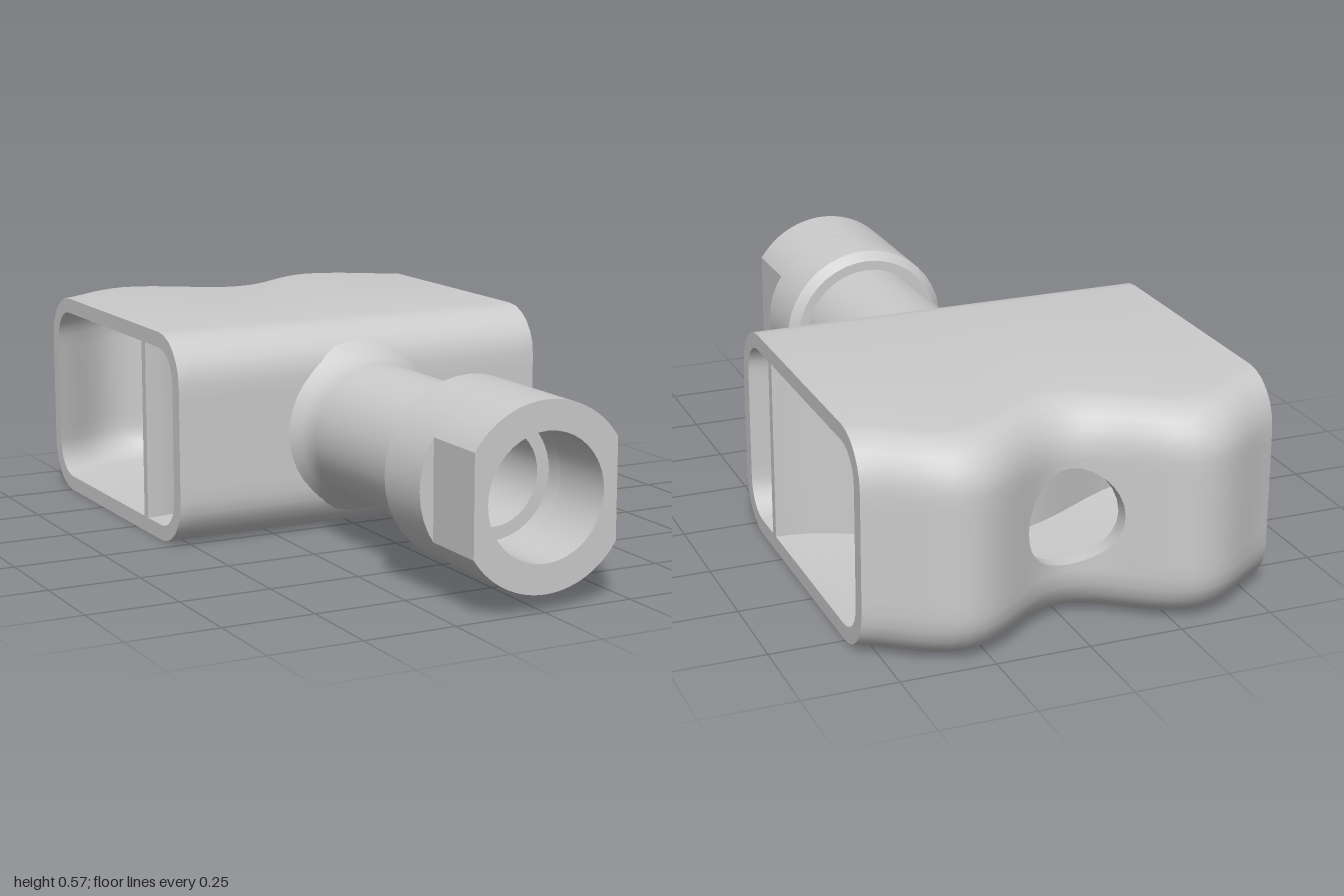
import * as THREE from 'three';
import { mergeGeometries, mergeVertices, toCreasedNormals } from 'three/addons/utils/BufferGeometryUtils.js';

const CY = 0.2875;      // height of the bore axis
const L = 0.55;         // half length of the sleeve
const S = 0.1575;       // half height of the flat walls
const BORE = 0.13;
const WALL = 0.042;

// Grid surface from fn(u, v); its front is on the side of du x dv unless flipped
function surf(us, vs, fn, flip = false) {
  const pos = [], idx = [], n = vs.length;
  for (const u of us) for (const v of vs) pos.push(...fn(u, v));
  for (let i = 0; i < us.length - 1; i++) {
    for (let j = 0; j < n - 1; j++) {
      const a = i * n + j, b = a + n, c = b + 1, d = a + 1;
      if (flip) idx.push(a, c, b, a, d, c);
      else idx.push(a, b, c, a, c, d);
    }
  }
  const g = new THREE.BufferGeometry();
  g.setAttribute('position', new THREE.Float32BufferAttribute(pos, 3));
  g.setIndex(idx);
  return g;
}
const range = (a, b, n) => Array.from({ length: n + 1 }, (_, i) => a + (b - a) * i / n);

const sideX = range(S, L, 10), midX = range(-S, S, 8);
const leftX = sideX.map(x => -x).reverse();
const allX = [...leftX, ...midX.slice(1, -1), ...sideX];

// Point on the square around the bore, s in 0..32
function squarePoint(s) {
  const side = Math.floor(s / 8) % 4, t = S * ((s % 8) / 4 - 1);
  return [[S, t], [-t, S], [-S, -t], [t, -S]][side];
}
function circlePoint(s) {
  const [x, y] = squarePoint(s), k = BORE / Math.hypot(x, y);
  return [x * k, y * k];
}

// Upright wall z = zf(x) with a round hole in the middle
function piercedWall(zf, flip) {
  const grid = (x, y) => [x, CY + y, zf(x)];
  return [
    surf(leftX, midX, grid, flip),
    surf(sideX, midX, grid, flip),
    surf(range(0, 1, 3), range(0, 32, 32), (k, s) => {
      const c = circlePoint(s), q = squarePoint(s);
      return grid(c[0] + (q[0] - c[0]) * k, c[1] + (q[1] - c[1]) * k);
    }, flip),
  ];
}

// Lining of a hole from the rear surface to the one in front of it
const holeLining = (zRear, zFront) => surf([0, 1], range(0, 32, 32), (k, s) => {
  const [x, y] = circlePoint(s);
  return [x, CY + y, k ? zFront(x) : zRear(x)];
});

function finish(parts, angle) {
  return toCreasedNormals(mergeVertices(mergeGeometries(parts), 1e-5), angle);
}

// Waved rear wall, and rounded section of the sleeve at x (i in 0..28)
const rearZ = x => -0.928 + 0.072 * Math.cos(Math.PI * x / 0.31);
function section(x, i, inset) {
  const k = i % 28, corner = Math.floor(k / 7);
  const a = (corner + (k % 7) / 6) * Math.PI / 2;
  const r = 0.13 - inset;
  const cz = corner === 0 || corner === 3 ? 0.055 - 0.13 : rearZ(x) + 0.13;
  const cy = corner < 2 ? S : -S;
  return [x, CY + cy + r * Math.sin(a), cz + r * Math.cos(a)];
}

function sleeveGeometry() {
  const parts = [];
  for (const inset of [0, WALL]) {
    const inner = inset > 0;
    const skin = (x, i) => section(x, i, inset);
    parts.push(surf(allX, range(0, 13, 13), skin, inner));
    parts.push(surf(allX, range(14, 27, 13), skin, inner));
    parts.push(...piercedWall(() => 0.055 - inset, inner));
    parts.push(...piercedWall(x => rearZ(x) + inset, !inner));
  }
  parts.push(holeLining(rearZ, x => rearZ(x) + WALL));
  // End rims
  for (const x of [-L, L]) {
    parts.push(surf([0, WALL], range(0, 28, 28), (inset, i) => section(x, i, inset), x < 0));
  }
  return finish(parts, 0.7);
}

// Thin bowed partition across the inside
function partitionGeometry() {
  const rear = x => -0.195 - 0.205 * Math.cos(Math.PI * x / (2 * L)) ** 2;
  const front = x => rear(x) + 0.025;
  const top = 0.255, parts = [];
  for (const [zf, flip] of [[front, false], [rear, true]]) {
    const grid = (x, y) => [x, CY + y, zf(x)];
    parts.push(...piercedWall(zf, flip));
    parts.push(surf(allX, [S, top], grid, flip), surf(allX, [-top, -S], grid, flip));
  }
  parts.push(holeLining(rear, front));
  for (const x of [-L, L]) {
    parts.push(surf([0, 1], [-top, ...midX, top],
      (k, y) => [x, CY + y, k ? front(x) : rear(x)], x > 0));
  }
  return finish(parts, 0.7);
}

// Hollow neck with flared root, collar and stepped bore, turned about z
function neckGeometry() {
  const profile = [
    [0.24, 0.035], [0.222, 0.06], [0.203, 0.085], [0.193, 0.11], [0.19, 0.14],
    [0.19, 0.6], [0.218, 0.6], [0.242, 0.626], [0.242, 0.805], [0.165, 0.805],
    [0.165, 0.75], [BORE, 0.75], [BORE, 0.055 - WALL],
  ].map(p => new THREE.Vector2(...p));
  const g = new THREE.LatheGeometry(profile, 40);
  g.rotateX(Math.PI / 2);
  return toCreasedNormals(g, 0.6);
}

// Collar end with two wrench flats
function flatsGeometry() {
  const R = 0.242, a = Math.acos(0.203 / R);
  const shape = new THREE.Shape();
  shape.absarc(0, 0, R, a, Math.PI - a);
  shape.absarc(0, 0, R, Math.PI + a, 2 * Math.PI - a);
  shape.closePath();
  const hole = new THREE.Path();
  hole.absarc(0, 0, 0.165, 0, 2 * Math.PI, true);
  shape.holes.push(hole);
  const g = new THREE.ExtrudeGeometry(shape, { depth: 0.195, bevelEnabled: false, curveSegments: 20 });
  g.translate(0, 0, 0.805);
  return toCreasedNormals(g, 0.5);
}

export function createModel() {
  const group = new THREE.Group();
  const material = new THREE.MeshStandardMaterial({ color: 0xcccccc });
  const add = (name, geometry, y = 0) => {
    const mesh = new THREE.Mesh(geometry, material);
    mesh.name = name;
    mesh.position.y = y;
    group.add(mesh);
  };
  add('sleeve', sleeveGeometry());
  add('partition', partitionGeometry());
  add('neck', neckGeometry(), CY);
  add('collarFlats', flatsGeometry(), CY);
  return group;
}
